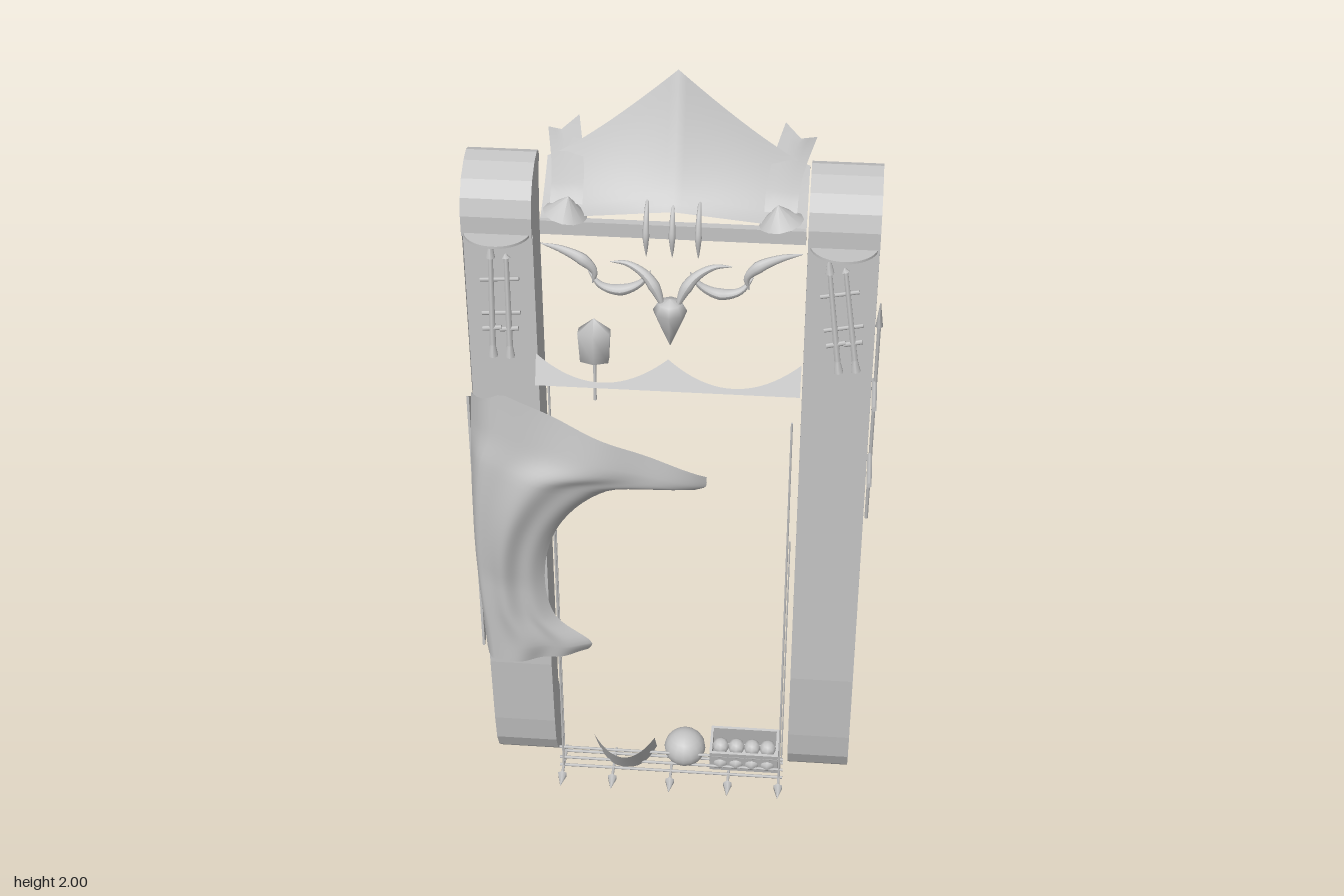
import * as THREE from 'three';

const grey = new THREE.MeshStandardMaterial({ color: 0xc4c4c4, side: THREE.DoubleSide });
grey.name = 'stone grey';

function add(parent, name, geo, x = 0, y = 0, z = 0) {
  const m = new THREE.Mesh(geo, grey);
  m.name = name;
  m.position.set(x, y, z);
  parent.add(m);
  return m;
}
const V = (p) => new THREE.Vector3(...p);

// straight rod between two points, tapering if r2 differs
function rod(parent, name, a, b, r, r2 = r, sides = 6) {
  const p = V(a), q = V(b), d = q.clone().sub(p);
  const m = add(parent, name, new THREE.CylinderGeometry(r2, r, d.length(), sides));
  m.position.copy(p).add(q).multiplyScalar(0.5);
  m.quaternion.setFromUnitVectors(new THREE.Vector3(0, 1, 0), d.normalize());
  return m;
}

// sheet from a rule f(u, v) -> [x, y, z]
function sheet(nu, nv, f) {
  const g = new THREE.PlaneGeometry(1, 1, nu, nv), p = g.attributes.position;
  for (let j = 0, k = 0; j <= nv; j++)
    for (let i = 0; i <= nu; i++, k++) p.setXYZ(k, ...f(i / nu, 1 - j / nv));
  g.computeVertexNormals();
  return g;
}

// curved horn, thick at the peak and pointed at the ends
function horn(pts, radius, peak = 0.5) {
  const curve = new THREE.CatmullRomCurve3(pts.map(V)), n = 20, s = 10;
  const g = new THREE.TubeGeometry(curve, n, 1, s), p = g.attributes.position;
  for (let i = 0; i <= n; i++) {
    const t = i / n, c = curve.getPointAt(t);
    const r = radius * Math.max(0.02, t < peak ? t / peak : (1 - t) / (1 - peak)) ** 0.7;
    for (let j = 0; j <= s; j++) {
      const k = i * (s + 1) + j;
      const q = new THREE.Vector3().fromBufferAttribute(p, k).sub(c).multiplyScalar(r).add(c);
      p.setXYZ(k, q.x, q.y, q.z);
    }
  }
  g.computeVertexNormals();
  return g;
}

// side profile in (z, y), extruded along x from x0 to x1
function sideExtrude(parent, name, shape, x0, x1) {
  const g = new THREE.ExtrudeGeometry(shape, { depth: x1 - x0, bevelEnabled: false, curveSegments: 10 });
  g.rotateY(-Math.PI / 2);
  return add(parent, name, g, x1);
}

const front = [[-0.02, 0], [0.02, 0.02], [0.06, 0.06], [0.085, 0.11], [0.097, 0.19], [0.112, 0.4], [0.114, 1.69],
  [0.135, 1.69], [0.135, 1.74], [0.122, 1.78], [0.095, 1.815], [0.05, 1.838], [0.012, 1.845], [-0.012, 1.838], [-0.02, 1.825]];

function makePillar(side) {
  const g = new THREE.Group();
  g.name = side > 0 ? 'leftPillar' : 'rightPillar';
  const span = (a, b) => (side > 0 ? [a, b] : [-b, -a]);
  const profile = () => new THREE.Shape(front.map((p) => new THREE.Vector2(...p)));
  // curved front plate
  const plate = profile();
  [...front].reverse().forEach(([z, y]) => plate.lineTo(z * 0.93 - 0.002, 0.92 + (y - 0.92) * 0.99));
  sideExtrude(g, 'pillarFront', plate, ...span(0.311, 0.472));
  // scalloped outer wall
  const outer = profile();
  outer.lineTo(-0.015, 1.76);
  outer.quadraticCurveTo(-0.02, 1.7, -0.083, 1.67);
  for (const y of [1.295, 0.92, 0.545, 0.165]) outer.quadraticCurveTo(0.115, y + 0.19, -0.083, y);
  outer.lineTo(-0.02, 0);
  sideExtrude(g, 'outerWall', outer, ...span(0.464, 0.472));
  // plain inner wall, flared at the foot
  const inner = profile();
  [[0, 1.76], [0.012, 1.66], [0.012, 0.27], [-0.03, 0.17]].forEach((p) => inner.lineTo(...p));
  sideExtrude(g, 'innerWall', inner, ...span(0.311, 0.319));
  // half-round ledge
  const ledge = new THREE.CylinderGeometry(0.078, 0.078, 0.006, 24, 1, false, -Math.PI / 2, Math.PI);
  add(g, 'ledge', ledge, side * 0.392, 1.695, 0.113);
  return g;
}

// pair of trophy blades hung on a pillar
function makeBlades(x, tilt, name) {
  const g = new THREE.Group();
  g.name = name;
  for (const s of [-1, 1]) {
    rod(g, 'blade', [s * 0.02, -0.12, 0.04], [s * 0.018, 0.11, 0.018], 0.008, 0.006);
    rod(g, 'bladeTip', [s * 0.018, 0.11, 0.018], [s * 0.016, 0.14 - 0.02 * s, 0.014], 0.011, 0.001);
    rod(g, 'pommel', [s * 0.02, -0.14, 0.042], [s * 0.02, -0.11, 0.04], 0.012, 0.007);
    rod(g, 'guard', [s * 0.02 - 0.022, -0.07, 0.035], [s * 0.02 + 0.022, -0.065, 0.035], 0.006);
  }
  for (const y of [-0.04, 0.05]) rod(g, 'hanger', [-0.045, y, 0.016], [0.045, y + 0.006, 0.016], 0.005);
  g.position.set(x, 1.525, 0.115);
  g.rotation.z = tilt;
  return g;
}

function makeRoof() {
  const g = new THREE.Group();
  g.name = 'roof';
  const top = (u) => 1.77 + 0.23 * (1 - Math.abs(u)) ** 1.2;
  const low = (u) => 1.69 + 0.03 * (1 - Math.abs(u));
  add(g, 'roofSheet', sheet(32, 10, (a, v) => {
    const u = a * 2 - 1;
    return [u * 0.305, low(u) + (top(u) - low(u)) * v ** 1.35, 0.04 - 0.155 * v];
  }));
  add(g, 'roofRim', sheet(32, 1, (a, v) => {
    const u = a * 2 - 1;
    return [u * 0.305, top(u) - 0.025 * v, -0.115 - 0.016 * v];
  }));
  add(g, 'roofBeam', new THREE.BoxGeometry(0.61, 0.035, 0.02), 0, 1.672, 0.04);
  // claws over the eave
  for (const x of [-0.06, 0, 0.06])
    add(g, 'claw', horn([[x, 1.745, -0.03], [x, 1.72, 0.035], [x, 1.67, 0.058], [x, 1.61, 0.055]], 0.008, 0.7));
  // forked streamers with round studs
  for (const s of [-1, 1]) {
    add(g, 'streamer', sheet(4, 10, (a, v) => {
      const c = Math.abs(a * 2 - 1);
      return [s * (0.245 + 0.035 * v ** 2 + (a - 0.5) * 0.075),
        1.725 + 0.08 * v ** 0.6 - 0.035 * (a - 0.5) * v, 0.03 - 0.21 * v - 0.045 * c * v ** 4];
    }));
    const stud = add(g, 'stud', new THREE.ConeGeometry(0.052, 0.045, 12), s * 0.243, 1.725, 0.035);
    stud.rotation.z = s * 0.2;
  }
  return g;
}

function makeScrolls() {
  const g = new THREE.Group();
  g.name = 'scrollwork';
  const pendant = add(g, 'pendant', new THREE.LatheGeometry(
    [[0.001, 1.41], [0.018, 1.45], [0.04, 1.505], [0.028, 1.525], [0.001, 1.535]].map((p) => new THREE.Vector2(...p)), 8));
  pendant.position.z = 0.115;
  for (const s of [-1, 1]) {
    const path = (pts) => pts.map(([x, y, z]) => [s * x, y, z]);
    add(g, 'innerCrescent', horn(path([[0.012, 1.505, 0.12], [0.035, 1.56, 0.11], [0.06, 1.59, 0.1],
      [0.1, 1.61, 0.09], [0.14, 1.61, 0.085]]), 0.014, 0.35));
    add(g, 'lowerCrescent', horn(path([[0.045, 1.6, 0.1], [0.07, 1.565, 0.1], [0.115, 1.545, 0.1],
      [0.16, 1.555, 0.1], [0.19, 1.59, 0.095]]), 0.014));
    add(g, 'outerCrescent', horn(path([[0.3, 1.648, 0.08], [0.25, 1.64, 0.09], [0.2, 1.62, 0.1],
      [0.175, 1.59, 0.1], [0.18, 1.56, 0.1]]), 0.014, 0.6));
  }
  return g;
}

// scalloped crossbar, leaning forward at the bottom
function makeCrossbar() {
  return sheet(40, 2, (a, v) => {
    const u = a * 2 - 1, height = 0.012 + 0.055 * (1 - 2 * Math.abs(u)) ** 2;
    return [u * 0.308, 1.335 + height * v, 0.198 - 0.5 * height * v];
  });
}

function makeDrape() {
  const g = new THREE.Group();
  g.name = 'drape';
  const edge = (pts) => new THREE.CatmullRomCurve3(pts.map(([x, y]) => new THREE.Vector3(x, y, 0)), false, 'centripetal');
  const right = edge([[0.095, 1.1], [0.088, 1.06], [-0.14, 1.03], [-0.26, 0.92], [-0.31, 0.76], [-0.29, 0.6], [-0.2, 0.505], [-0.21, 0.475]]);
  const left = edge([[-0.476, 1.25], [-0.48, 1.18], [-0.485, 1.1], [-0.49, 0.95], [-0.49, 0.8], [-0.485, 0.65], [-0.48, 0.53], [-0.476, 0.46]]);
  add(g, 'drapeFront', sheet(30, 42, (s, v) => {
    const t = 1 - v, l = left.getPoint(t), r = right.getPoint(t);
    const peak = 0.073 * Math.max(0, s < 0.15 ? s / 0.15 : (1 - s) / 0.85) * (1 - t) ** 8;
    const bulge = (0.03 + 0.03 * Math.sin(Math.PI * Math.min(1, t * 1.6)) - 0.015 * t) * Math.sin(Math.PI * s) ** 0.8;
    const fold = 0.007 * Math.sin(s * 14 + t * 3) * Math.sin(Math.PI * s);
    const turn = 0.05 * Math.max(0, 1 - s / 0.1) ** 2;
    return [l.x + (r.x - l.x) * s, l.y + (r.y - l.y) * s + peak,
      0.165 + bulge + fold - turn + 0.04 * s * (1 - t) - 0.04 * t * s * s];
  }));
  // part wrapped round the pillar's side
  const wrap = new THREE.Shape([[0.118, 1.24], [0, 1.16], [-0.11, 1.1], [-0.06, 0.87], [0, 0.66], [0.1, 0.47], [0.118, 0.46]]
    .map((p) => new THREE.Vector2(...p)));
  sideExtrude(g, 'drapeSide', wrap, -0.488, -0.482);
  return g;
}

function makeShelf() {
  const g = new THREE.Group();
  g.name = 'shelf';
  for (const [y, z] of [[0.04, 0.105], [0.04, 0.05], [0.068, 0.105], [0.105, 0.105]])
    rod(g, 'rail', [-0.3, y, z], [0.3, y, z], 0.004);
  for (const x of [-0.29, -0.155, 0, 0.155, 0.29]) {
    rod(g, 'crossRod', [x, 0.04, 0.03], [x, 0.04, 0.15], 0.004);
    rod(g, 'finial', [x, 0.037, 0.14], [x, 0.037, 0.182], 0.013, 0.001);
  }
  for (const s of [-1, 1]) {
    rod(g, 'pole', [s * 0.29, 0.04, 0.108], [s * 0.29, s < 0 ? 1.28 : 1.2, 0.108], 0.003);
    rod(g, 'thinPole', [s * 0.295, 0.04, 0.05], [s * 0.295, 0.8, 0.05], 0.002);
  }
  // curved shield leaning forward
  add(g, 'shield', sheet(16, 6, (a, v) => {
    const u = a * 2 - 1, lo = 0.05 + 0.05 * Math.abs(u) ** 3, hi = 0.145 + 0.045 * u * u;
    return [-0.12 + u * 0.08, lo + (hi - lo) * v, 0.11 + 0.065 * v - 0.035 * u * u];
  }));
  // round pot, and a crate of balls
  const pot = add(g, 'pot', new THREE.SphereGeometry(0.055, 16, 12), 0.035, 0.1, 0.07);
  pot.scale.y = 0.92;
  const crate = new THREE.Group();
  crate.name = 'crate';
  add(crate, 'crateBase', new THREE.BoxGeometry(0.18, 0.008, 0.085), 0, -0.035);
  for (const s of [-1, 1]) {
    add(crate, 'crateSide', new THREE.BoxGeometry(0.18, 0.08, 0.007), 0, 0, s * 0.04);
    add(crate, 'crateEnd', new THREE.BoxGeometry(0.007, 0.08, 0.085), s * 0.088);
  }
  for (let i = 0; i < 8; i++)
    add(crate, 'ball', new THREE.SphereGeometry(0.023, 8, 6), -0.063 + (i % 4) * 0.042, i < 4 ? -0.008 : 0.03, i < 4 ? 0.032 : 0.012);
  crate.position.set(0.195, 0.092, 0.06);
  crate.rotation.x = 0.25;
  g.add(crate);
  return g;
}

export function createModel() {
  const model = new THREE.Group();
  model.name = 'decoratedFrame';
  model.add(makePillar(1), makePillar(-1), makeRoof(), makeScrolls(), makeDrape(), makeShelf(),
    makeBlades(-0.39, 0, 'rightBlades'), makeBlades(0.395, 0.13, 'leftBlades'));
  add(model, 'crossbar', makeCrossbar());
  // small hanging lantern
  const lantern = add(model, 'lantern', new THREE.LatheGeometry(
    [[0.001, 1.385], [0.038, 1.387], [0.043, 1.465], [0.001, 1.5]].map((p) => new THREE.Vector2(...p)), 6), -0.172, 0, 0.158);
  lantern.scale.z = 0.6;
  rod(model, 'lanternStick', [-0.172, 1.28, 0.165], [-0.172, 1.39, 0.158], 0.004);
  // spear on the outer wall
  rod(model, 'spear', [0.482, 0.85, 0.0], [0.482, 1.47, 0.075], 0.005);
  rod(model, 'spearHead', [0.482, 1.46, 0.074], [0.482, 1.53, 0.083], 0.009, 0.001, 4);
  for (const y of [1.07, 1.29]) rod(model, 'spearBracket', [0.48, y, 0.165], [0.48, y, 0.04], 0.007);
  return model;
}
